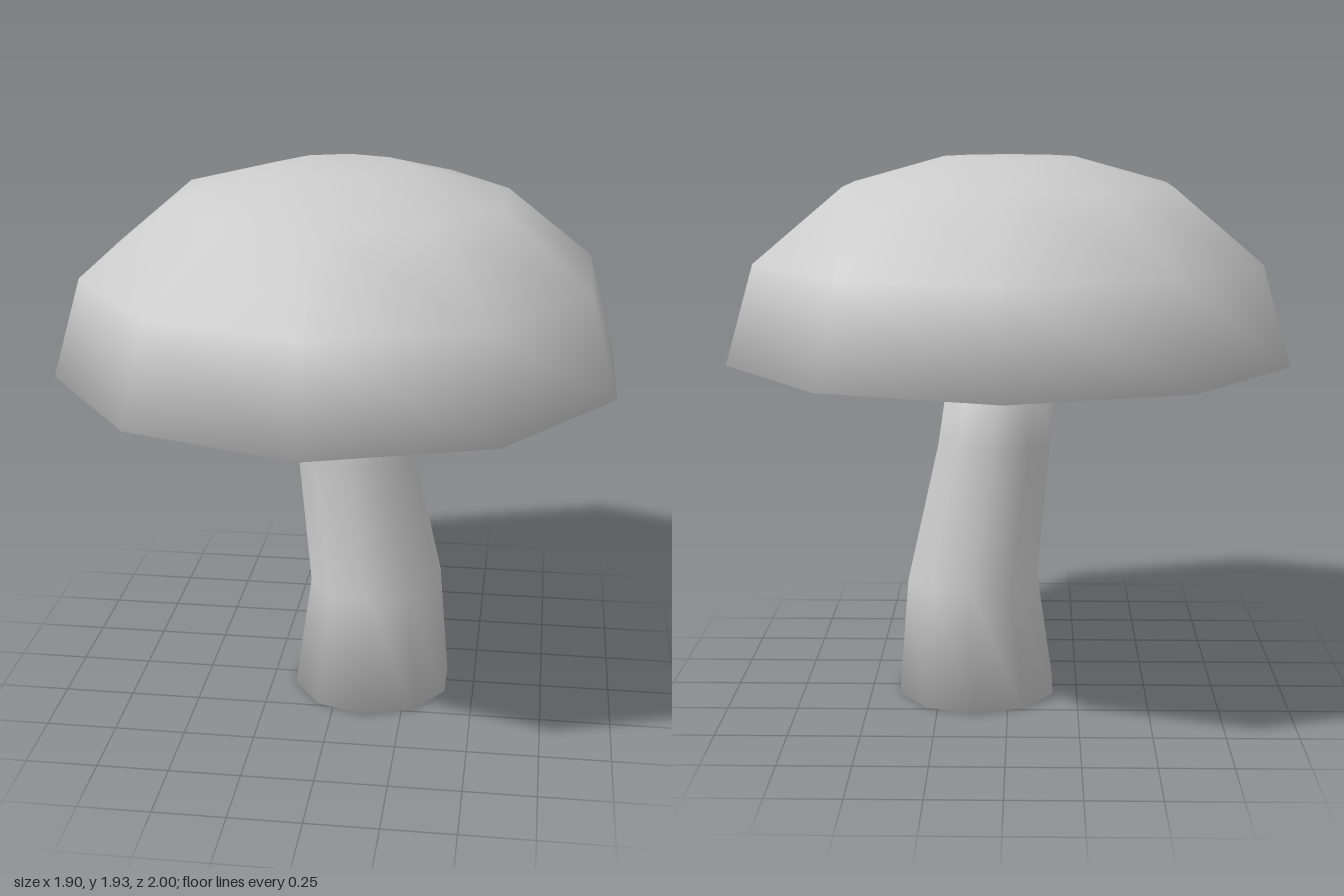
import * as THREE from 'three';
import { mergeVertices } from 'three/addons/utils/BufferGeometryUtils.js';

const SIDES = 10;

// Smooth normals shared over every edge, each face counting equally
function smooth(geometry) {
  const index = geometry.index, pos = geometry.attributes.position;
  const sums = Array.from({ length: pos.count }, () => new THREE.Vector3());
  const tri = new THREE.Triangle(), n = new THREE.Vector3();
  for (let i = 0; i < index.count; i += 3) {
    const ids = [0, 1, 2].map((k) => index.getX(i + k));
    tri.setFromAttributeAndIndices(pos, ...ids);
    if (tri.getArea() < 1e-6) continue;
    tri.getNormal(n);
    ids.forEach((id) => sums[id].add(n));
  }
  geometry.setAttribute('normal', new THREE.Float32BufferAttribute(
    sums.flatMap((s) => s.normalize().toArray()), 3));
  return geometry;
}

// Ten-sided solid from [radius, height, sideways shift] rings, bottom to top
function ringSolid(rings) {
  const lathe = new THREE.LatheGeometry(rings.map(([r, y]) => new THREE.Vector2(r, y)), SIDES);
  const pos = lathe.attributes.position;
  for (let i = 0; i < pos.count; i++) {
    pos.setX(i, pos.getX(i) + (rings[i % rings.length][2] ?? 0));
  }
  lathe.deleteAttribute('normal');
  lathe.deleteAttribute('uv');
  return smooth(mergeVertices(lathe));
}

export function createModel() {
  const model = new THREE.Group();
  model.name = 'mushroom';
  const grey = new THREE.MeshStandardMaterial({ color: 0xcccccc });
  grey.name = 'light grey';

  // Domed cap with a flat underside and a flat crown
  const cap = new THREE.Mesh(ringSolid([
    [0, 1.25], [1, 1.25], [0.9, 1.59], [0.59, 1.84], [0.24, 1.935], [0, 1.935],
  ]), grey);
  cap.name = 'cap';

  // Bent stem, wider at the foot
  const stem = new THREE.Mesh(ringSolid([
    [0, 0, 0.117], [0.293, 0, 0.117], [0.244, 0.425, 0.13],
    [0.209, 0.93, 0.05], [0.2, 1.25, 0.012], [0, 1.25, 0.012],
  ]), grey);
  stem.name = 'stem';

  model.add(cap, stem);
  return model;
}
